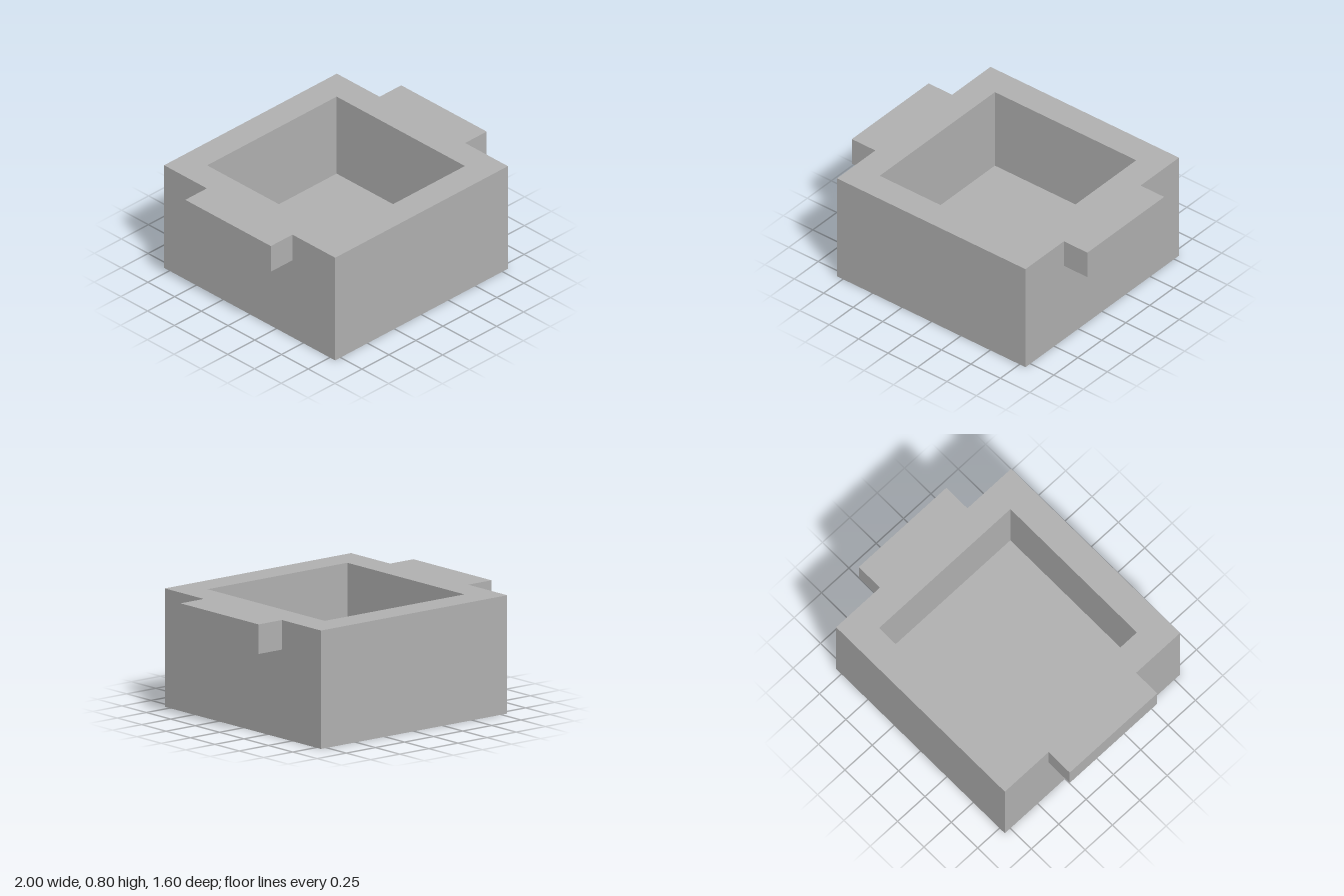
import * as THREE from 'three';

export function createModel() {
  const model = new THREE.Group();
  model.name = 'openBox';
  const grey = new THREE.MeshStandardMaterial({ color: 0xb2b2b2 });
  grey.name = 'plain grey';

  // Square tub: a four-sided lathe, profile given as half widths and heights
  const profile = [[0, 0], [0.8, 0], [0.8, 0.8], [0.6, 0.8], [0.6, 0.2], [0, 0.2]]
    .map(([half, y]) => new THREE.Vector2(half * Math.SQRT2, y));
  const tubGeometry = new THREE.LatheGeometry(profile, 4, Math.PI / 4).toNonIndexed();
  tubGeometry.computeVertexNormals();
  const tub = new THREE.Mesh(tubGeometry, grey);
  tub.name = 'tub';
  model.add(tub);

  // Side handles, flush with the rim
  for (const [name, side] of [['leftHandle', 1], ['rightHandle', -1]]) {
    const handle = new THREE.Mesh(new THREE.BoxGeometry(0.2, 0.2, 0.8), grey);
    handle.name = name;
    handle.position.set(side * 0.9, 0.7, 0);
    model.add(handle);
  }
  return model;
}
